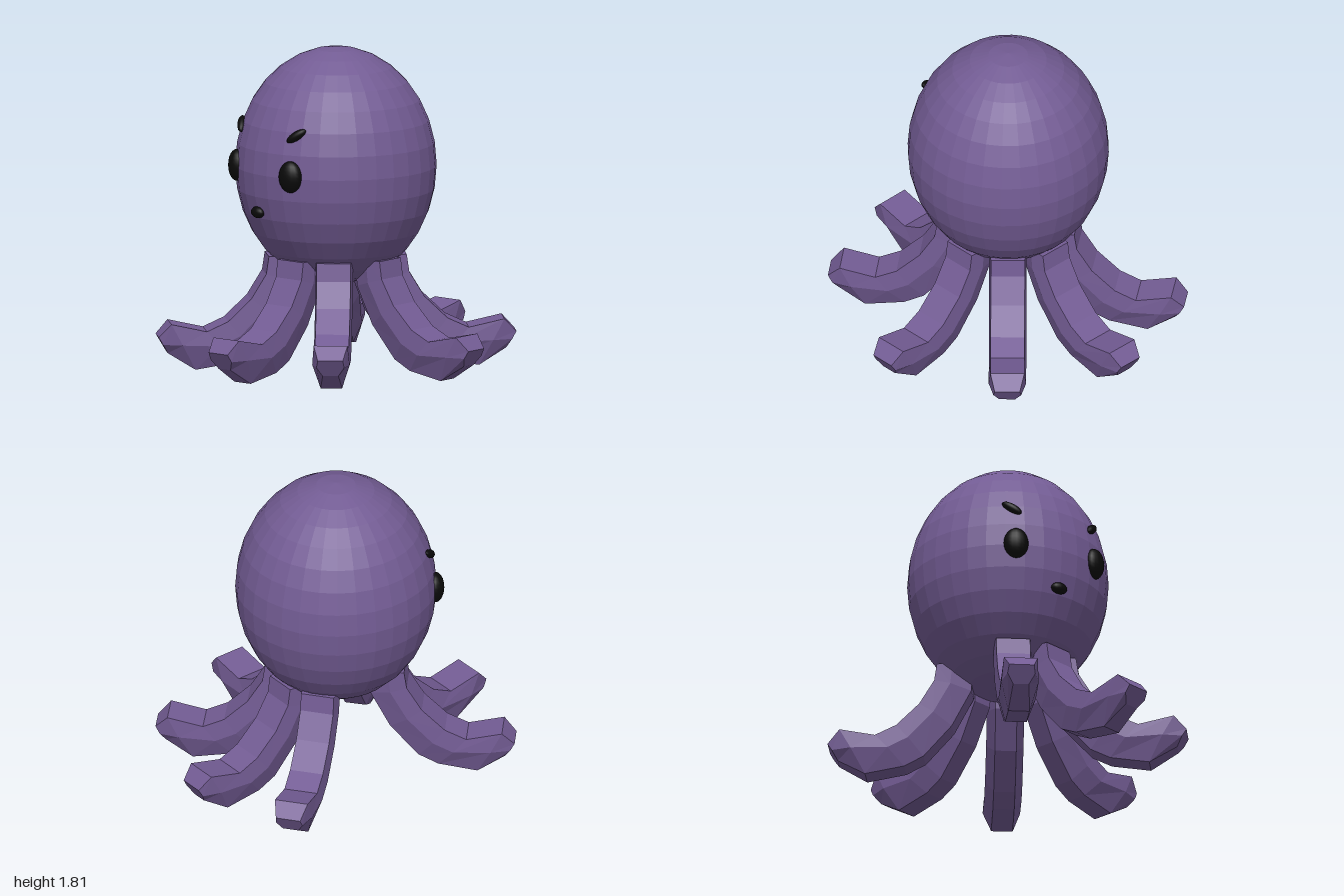
import * as THREE from 'three';

const skin = new THREE.MeshStandardMaterial({ color: 0x735c94, flatShading: true });
const black = new THREE.MeshStandardMaterial({ color: 0x0a0a0a });
const CENTRE_Z = -0.09;

// Ellipsoid with its long axes turned to a given basis (x and y axes)
function ellipsoid(name, pos, radii, xAxis, yAxis) {
  const mesh = new THREE.Mesh(new THREE.SphereGeometry(1, 16, 12), black);
  const x = new THREE.Vector3(...xAxis).normalize();
  const y = new THREE.Vector3(...yAxis);
  y.addScaledVector(x, -x.dot(y)).normalize();
  const z = new THREE.Vector3().crossVectors(x, y);
  mesh.quaternion.setFromRotationMatrix(new THREE.Matrix4().makeBasis(x, y, z));
  mesh.position.set(...pos);
  mesh.scale.set(...radii);
  mesh.name = name;
  return mesh;
}

// Arm: six-sided section swept along a curled profile, pointing to +x
function armGeometry() {
  // each ring: outer/top point (r, y), inner/bottom point (r, y), width factor
  const rings = [
    [0.39, 0.64, 0.19, 0.64, 1],
    [0.405, 0.54, 0.2, 0.48, 1],
    [0.49, 0.4, 0.31, 0.27, 1],
    [0.62, 0.275, 0.47, 0.09, 1],
    [0.74, 0.22, 0.58, 0.035, 1],
    [0.94, 0.265, 0.8, 0.0, 1],
    [1.01, 0.19, 0.955, 0.095, 0.74],
  ];
  // section: sideways offset, height from bottom (0) to top (1)
  const section = [[-0.095, 1], [0.095, 1], [0.105, 0.55], [0.06, 0], [-0.06, 0], [-0.105, 0.55]];
  const n = section.length, pos = [], idx = [];
  for (const [tr, ty, br, by, w] of rings)
    for (const [s, t] of section) pos.push(br + (tr - br) * t, by + (ty - by) * t, s * w);
  for (let i = 0; i < rings.length - 1; i++)
    for (let j = 0; j < n; j++) {
      const a = i * n + j, b = i * n + (j + 1) % n;
      idx.push(a, b, a + n, b, b + n, a + n);
    }
  const last = (rings.length - 1) * n;
  for (let j = 1; j < n - 1; j++) {
    idx.push(0, j + 1, j);
    idx.push(last, last + j, last + j + 1);
  }
  const geo = new THREE.BufferGeometry();
  geo.setAttribute('position', new THREE.Float32BufferAttribute(pos, 3));
  geo.setIndex(idx);
  geo.computeVertexNormals();
  return geo;
}

export function createModel() {
  const group = new THREE.Group();
  group.name = 'octopus';

  // Head
  const head = new THREE.Mesh(new THREE.SphereGeometry(1, 32, 16), skin);
  head.name = 'head';
  head.scale.set(0.565, 0.67, 0.565);
  head.position.set(0, 1.14, CENTRE_Z);
  group.add(head);

  // Seven arms, with a gap at the back
  const geo = armGeometry();
  [-51, -13, 30, 74, 127, 166, 208].forEach((deg, i) => {
    const arm = new THREE.Mesh(geo, skin);
    arm.name = `arm${i + 1}`;
    arm.position.z = CENTRE_Z;
    arm.rotation.y = -THREE.MathUtils.degToRad(deg);
    group.add(arm);
  });

  // Face looks towards -x: eyes and slanted brows mirrored across it
  for (const side of [-1, 1]) {
    const label = side > 0 ? 'front' : 'back';
    group.add(ellipsoid(`${label}Eye`, [-0.495, 1.15, CENTRE_Z + side * 0.26],
      [0.05, 0.09, 0.07], [-0.5, 0, side * 0.26], [0, 1, 0]));
    group.add(ellipsoid(`${label}Brow`, [-0.458, 1.38, CENTRE_Z + side * 0.265],
      [0.065, 0.025, 0.025], [0.07, 0.07, side * 0.08], [0, 1, 0]));
  }

  // Mouth
  group.add(ellipsoid('mouth', [-0.535, 0.92, CENTRE_Z], [0.032, 0.033, 0.05], [-1, 0, 0], [0, 1, 0]));
  return group;
}
